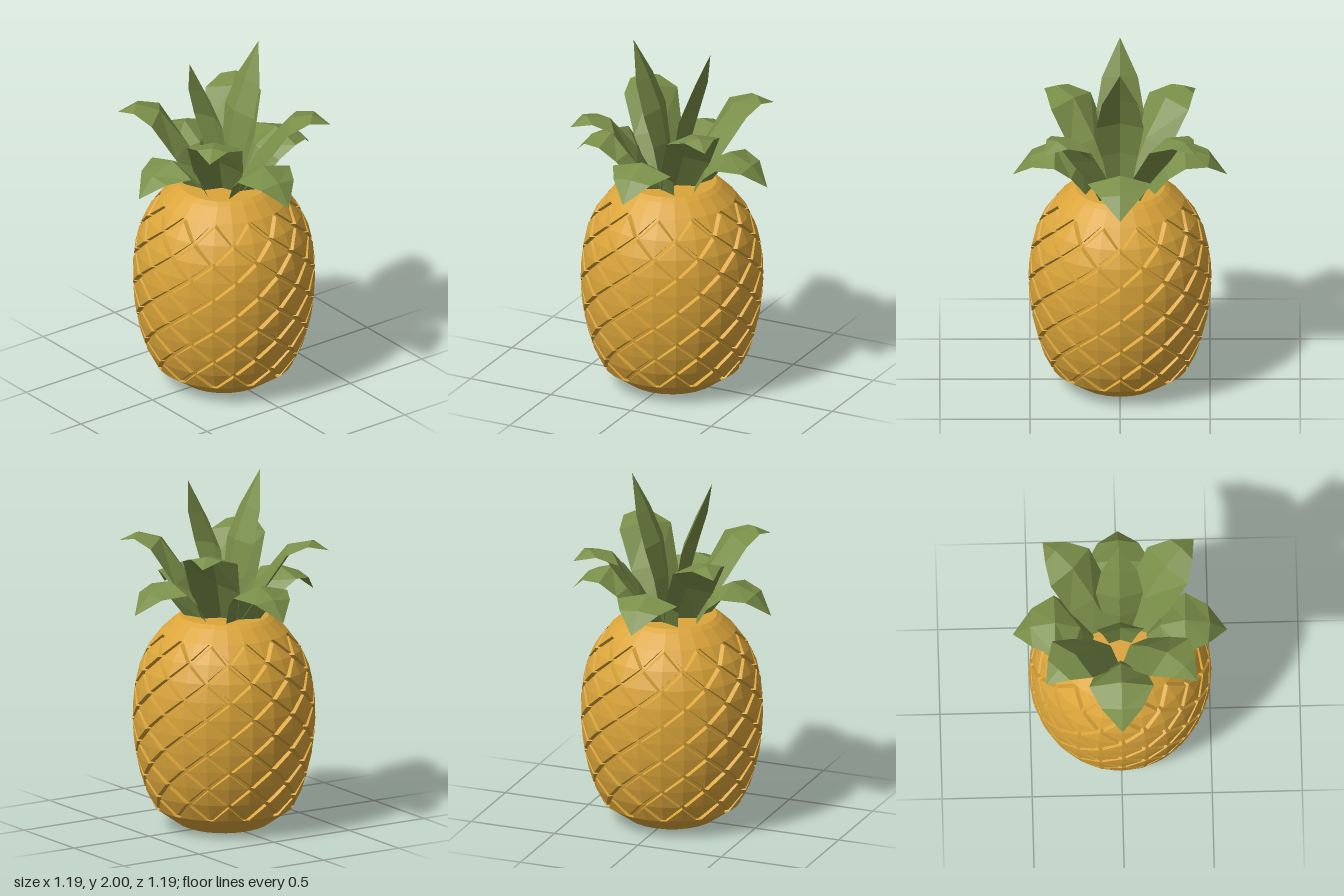
import * as THREE from 'three';

// Outer body profile: [height, radius]
const PROFILE = [
  [0, 0.21], [0.015, 0.25], [0.11, 0.385], [0.21, 0.435], [0.31, 0.466], [0.41, 0.488],
  [0.51, 0.502], [0.61, 0.508], [0.71, 0.506], [0.81, 0.495], [0.91, 0.472],
  [1.01, 0.428], [1.11, 0.355], [1.18, 0.28], [1.2, 0.25],
];
const COLUMNS = 12, ROW = 0.1, FIRST = 0.11, LAST_ROW = 10, GROOVE = 0.025;

function radiusAt(y) {
  const i = Math.max(1, PROFILE.findIndex(([h]) => h >= y));
  const [y0, r0] = PROFILE[i - 1], [y1, r1] = PROFILE[i];
  return THREE.MathUtils.mapLinear(y, y0, y1, r0, r1);
}

function bodyPoint(angle, y, depth = 0) {
  const r = radiusAt(y) - depth;
  return new THREE.Vector3(r * Math.sin(angle), y, r * Math.cos(angle));
}

function fromTriangles(points) {
  const geometry = new THREE.BufferGeometry().setFromPoints(points);
  geometry.computeVertexNormals();
  return geometry;
}

// Core at groove depth, with full-radius bands at the bottom and top
function coreGeometry() {
  const top = FIRST + LAST_ROW * ROW;
  const pts = [new THREE.Vector2(0, 0)];
  for (const [y, r] of PROFILE) {
    const inside = y > FIRST - 0.001 && y < top + 0.001;
    if (y === FIRST) pts.push(new THREE.Vector2(r, y));
    pts.push(new THREE.Vector2(inside ? r - GROOVE : r, y));
    if (Math.abs(y - top) < 0.001) pts.push(new THREE.Vector2(r, y));
  }
  pts.push(new THREE.Vector2(0, 1.2));
  return new THREE.LatheGeometry(pts, COLUMNS * 2);
}

// Raised diamonds with bevelled sides, in staggered rows
function diamondGeometry() {
  const tris = [];
  const half = Math.PI / COLUMNS;
  const dirs = [[1, 0], [0, 1], [-1, 0], [0, -1]];
  for (let row = 0; row <= LAST_ROW; row++) {
    const y = FIRST + row * ROW;
    // The end rows are half diamonds that run into the bands
    const sides = row === 0 ? [0, 1] : row === LAST_ROW ? [2, 3] : [0, 1, 2, 3];
    for (let col = 0; col < COLUMNS; col++) {
      const a = (col * 2 + (row % 2)) * half;
      const ring = (s, depth) => dirs.map(([u, v]) => bodyPoint(a + u * half * s, y + v * ROW * s, depth));
      const face = ring(0.83, 0), base = ring(0.91, GROOVE + 0.003);
      const centre = bodyPoint(a, y);
      for (const i of sides) {
        const j = (i + 1) % 4;
        tris.push(centre, face[i], face[j]);
        tris.push(base[i], base[j], face[j], base[i], face[j], face[i]);
      }
    }
  }
  return fromTriangles(tris);
}

// Leaf arching towards +z. Stations: [distance out, height, half width, drop of the edges]
function leafGeometry(stations) {
  const sections = stations.map(([r, y, w, sag], i) => {
    const a = stations[Math.max(0, i - 1)], b = stations[Math.min(stations.length - 1, i + 1)];
    const t = new THREE.Vector2(b[0] - a[0], b[1] - a[1]).normalize();
    const er = r + t.y * sag, ey = Math.max(1.19, y - t.x * sag);
    return [
      new THREE.Vector3(-w, ey, er),
      new THREE.Vector3(0, y, r),
      new THREE.Vector3(w, ey, er),
    ];
  });
  const tris = [];
  for (let i = 0; i < sections.length - 1; i++) {
    const p = sections[i], q = sections[i + 1];
    for (let k = 0; k < 2; k++) {
      tris.push(p[k], p[k + 1], q[k]);
      if (i < sections.length - 2) tris.push(p[k + 1], q[k + 1], q[k]);
    }
  }
  return fromTriangles(tris);
}

const TIERS = [
  {
    name: 'outerLeaf', count: 4, turn: 0,
    stations: [[0.14, 1.19, 0.11, 0.05], [0.22, 1.36, 0.15, 0.07], [0.36, 1.44, 0.18, 0.05],
      [0.5, 1.385, 0.115, 0.02], [0.595, 1.27, 0, 0]],
  },
  {
    name: 'middleLeaf', count: 4, turn: Math.PI / 4,
    stations: [[0.07, 1.19, 0.1, 0.05], [0.2, 1.42, 0.14, 0.06], [0.36, 1.62, 0.155, 0.04],
      [0.495, 1.648, 0.085, 0.02], [0.594, 1.595, 0, 0]],
  },
  {
    name: 'innerLeaf', count: 2, turn: 0,
    stations: [[0.02, 1.19, 0.06, 0.02], [0.035, 1.42, 0.1, 0.03], [0.07, 1.62, 0.132, 0.04],
      [0.145, 1.8, 0.1, 0.03], [0.24, 2.0, 0, 0]],
  },
];

export function createModel() {
  const model = new THREE.Group();
  model.name = 'pineapple';
  const skin = new THREE.MeshStandardMaterial({ color: 0xdba53a, flatShading: true });
  const green = new THREE.MeshStandardMaterial({ color: 0x7a8f49, flatShading: true, side: THREE.DoubleSide });

  const add = (parent, name, geometry, material) => {
    const mesh = new THREE.Mesh(geometry, material);
    mesh.name = name;
    parent.add(mesh);
    return mesh;
  };

  // Fruit
  const fruit = new THREE.Group();
  fruit.name = 'fruit';
  add(fruit, 'fruitCore', coreGeometry(), skin);
  add(fruit, 'diamondSkin', diamondGeometry(), skin);
  model.add(fruit);

  // Crown of leaves
  const crown = new THREE.Group();
  crown.name = 'crown';
  for (const { name, count, turn, stations } of TIERS) {
    const geometry = leafGeometry(stations);
    for (let i = 0; i < count; i++) {
      add(crown, name, geometry, green).rotation.y = turn + (i * 2 * Math.PI) / count;
    }
  }
  model.add(crown);
  return model;
}
